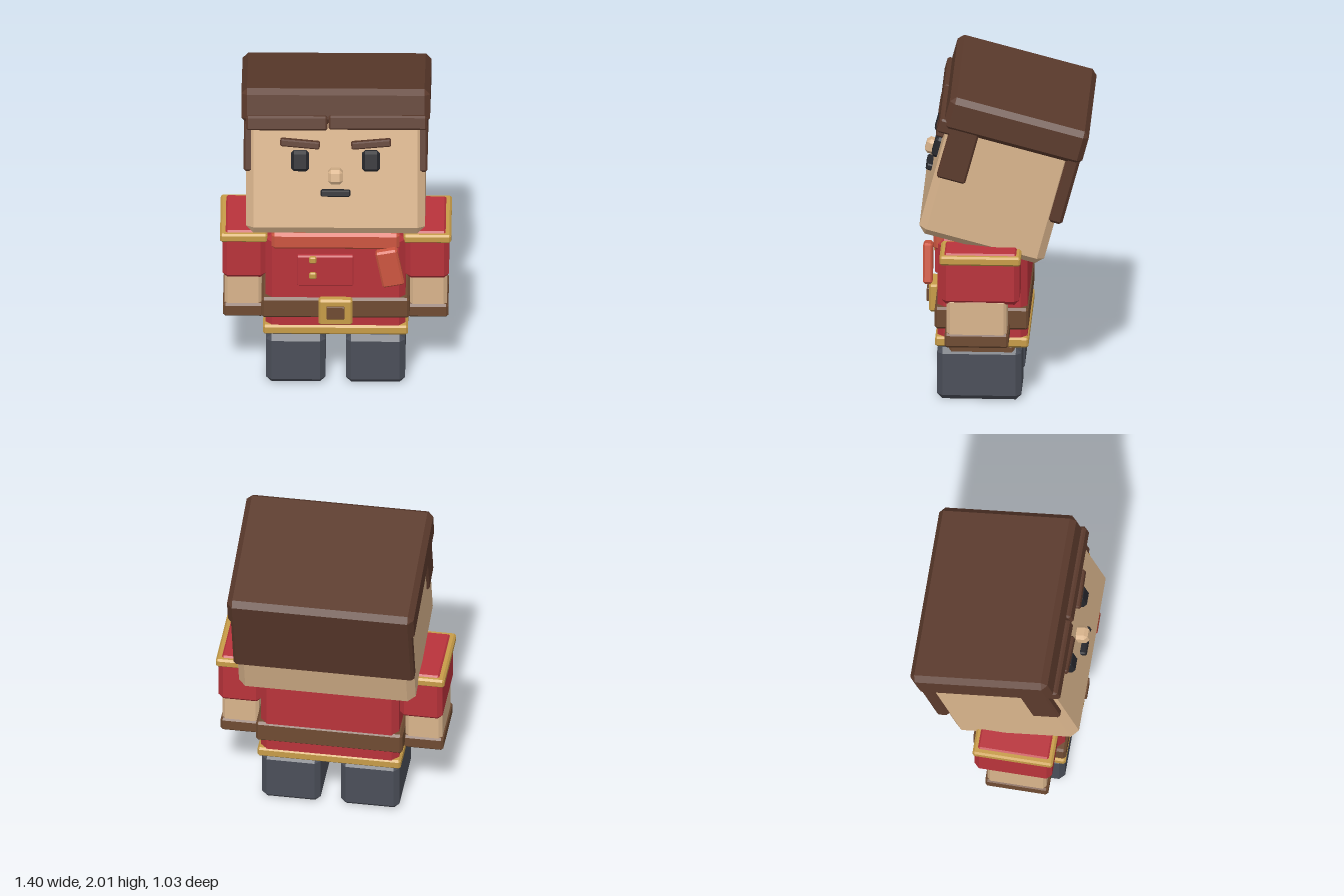
import * as THREE from 'three';
import { ConvexGeometry } from 'three/addons/geometries/ConvexGeometry.js';

const mat = (name, color) => {
  const m = new THREE.MeshStandardMaterial({ color });
  m.name = name;
  return m;
};

// Box with flat chamfered edges and corners
function chamferBox(w, h, d, b) {
  const pts = [];
  for (const sx of [-1, 1]) for (const sy of [-1, 1]) for (const sz of [-1, 1]) {
    const x = w / 2, y = h / 2, z = d / 2;
    pts.push(
      new THREE.Vector3(sx * x, sy * (y - b), sz * (z - b)),
      new THREE.Vector3(sx * (x - b), sy * y, sz * (z - b)),
      new THREE.Vector3(sx * (x - b), sy * (y - b), sz * z));
  }
  return new ConvexGeometry(pts);
}

// Adds a chamfered block given its [min, max] range on each axis
function block(parent, name, material, [x0, x1], [y0, y1], [z0, z1], bevel = 0.01, roll = 0) {
  const mesh = new THREE.Mesh(chamferBox(x1 - x0, y1 - y0, z1 - z0, bevel), material);
  mesh.position.set((x0 + x1) / 2, (y0 + y1) / 2, (z0 + z1) / 2);
  mesh.rotation.z = roll;
  mesh.name = name;
  parent.add(mesh);
  return mesh;
}

export function createModel() {
  const skin = mat('skin', 0xd9b48c);
  const hair = mat('hair brown', 0x5b3a2c);
  const leather = mat('leather brown', 0x6f4b32);
  const red = mat('tunic red', 0xb9333b);
  const coral = mat('collar coral', 0xcd5640);
  const gold = mat('gold trim', 0xc79c48);
  const slate = mat('boot slate', 0x4b4f59);
  const dark = mat('eye black', 0x26272c);

  const model = new THREE.Group();
  model.name = 'figure';
  const mirror = (s, a, b) => (s > 0 ? [a, b] : [-b, -a]);

  // Body
  const body = new THREE.Group();
  body.name = 'body';
  model.add(body);
  block(body, 'torso', red, [-0.425, 0.425], [0.345, 1.04], [-0.147, 0.4], 0.04);
  block(body, 'hem', gold, [-0.44, 0.44], [0.352, 0.415], [-0.155, 0.412], 0.012);
  block(body, 'belt', leather, [-0.45, 0.45], [0.47, 0.61], [-0.155, 0.415], 0.015);
  block(body, 'buckle', gold, [-0.103, 0.103], [0.45, 0.625], [0.405, 0.465], 0.012);
  block(body, 'buckleCentre', leather, [-0.055, 0.055], [0.5, 0.585], [0.43, 0.48], 0.004);
  block(body, 'collar', coral, [-0.388, 0.388], [0.957, 1.068], [0.32, 0.424], 0.018);
  block(body, 'chestPocket', red, [-0.235, 0.11], [0.705, 0.915], [0.39, 0.426], 0.008);
  for (const y of [0.78, 0.89])
    block(body, 'button', gold, [-0.16, -0.115], [y - 0.022, y + 0.022], [0.41, 0.442], 0.008);
  block(body, 'lapelFlap', coral, [0.262, 0.398], [0.735, 0.985], [0.43, 0.488], 0.012, 0.19);

  // Arms and legs
  for (const s of [1, -1]) {
    const arm = new THREE.Group();
    arm.name = s > 0 ? 'leftArm' : 'rightArm';
    model.add(arm);
    block(arm, 'sleeve', red, mirror(s, 0.425, 0.688), [0.715, 1.043], [-0.11, 0.366], 0.03);
    block(arm, 'shoulderTrim', gold, mirror(s, 0.413, 0.702), [0.976, 1.033], [-0.118, 0.375], 0.012);
    block(arm, 'forearm', skin, mirror(s, 0.45, 0.676), [0.49, 0.75], [-0.033, 0.332], 0.02);
    block(arm, 'cuff', leather, mirror(s, 0.438, 0.684), [0.437, 0.528], [-0.043, 0.345], 0.014);

    const leg = new THREE.Group();
    leg.name = s > 0 ? 'leftLeg' : 'rightLeg';
    model.add(leg);
    block(leg, 'trouserLeg', leather, mirror(s, 0.07, 0.41), [0.25, 0.36], [-0.07, 0.33], 0.015);
    block(leg, 'boot', slate, mirror(s, 0.062, 0.422), [0, 0.333], [-0.11, 0.402], 0.033);
  }

  // Head, leaning back
  const head = new THREE.Group();
  head.name = 'head';
  head.position.y = 1;
  head.rotation.x = -Math.PI / 12;
  model.add(head);
  block(head, 'skull', skin, [-0.543, 0.543], [-0.018, 0.82], [-0.255, 0.53], 0.045);
  block(head, 'hairCap', hair, [-0.573, 0.573], [0.685, 0.904], [-0.312, 0.562], 0.034);
  block(head, 'hairBack', hair, [-0.555, 0.555], [0.28, 0.75], [-0.3, -0.213], 0.018);
  block(head, 'fringeRight', hair, [-0.545, -0.048], [0.652, 0.742], [0.49, 0.588], 0.012);
  block(head, 'fringeLeft', hair, [-0.044, 0.556], [0.658, 0.748], [0.49, 0.588], 0.012);

  for (const s of [1, -1]) {
    block(head, 'sideburn', hair, mirror(s, 0.49, 0.558), [0.375, 0.72], [0.335, 0.515], 0.012);
    block(head, 'eye', dark, mirror(s, 0.16, 0.27), [0.387, 0.517], [0.51, 0.566], 0.018);
    block(head, 'eyebrow', hair, mirror(s, 0.095, 0.337), [0.54, 0.585], [0.52, 0.576], 0.008, s * 0.09);
  }
  block(head, 'nose', skin, [-0.046, 0.046], [0.315, 0.406], [0.5, 0.6], 0.02);
  block(head, 'mouth', dark, [-0.09, 0.09], [0.23, 0.27], [0.52, 0.566], 0.008);

  return model;
}
